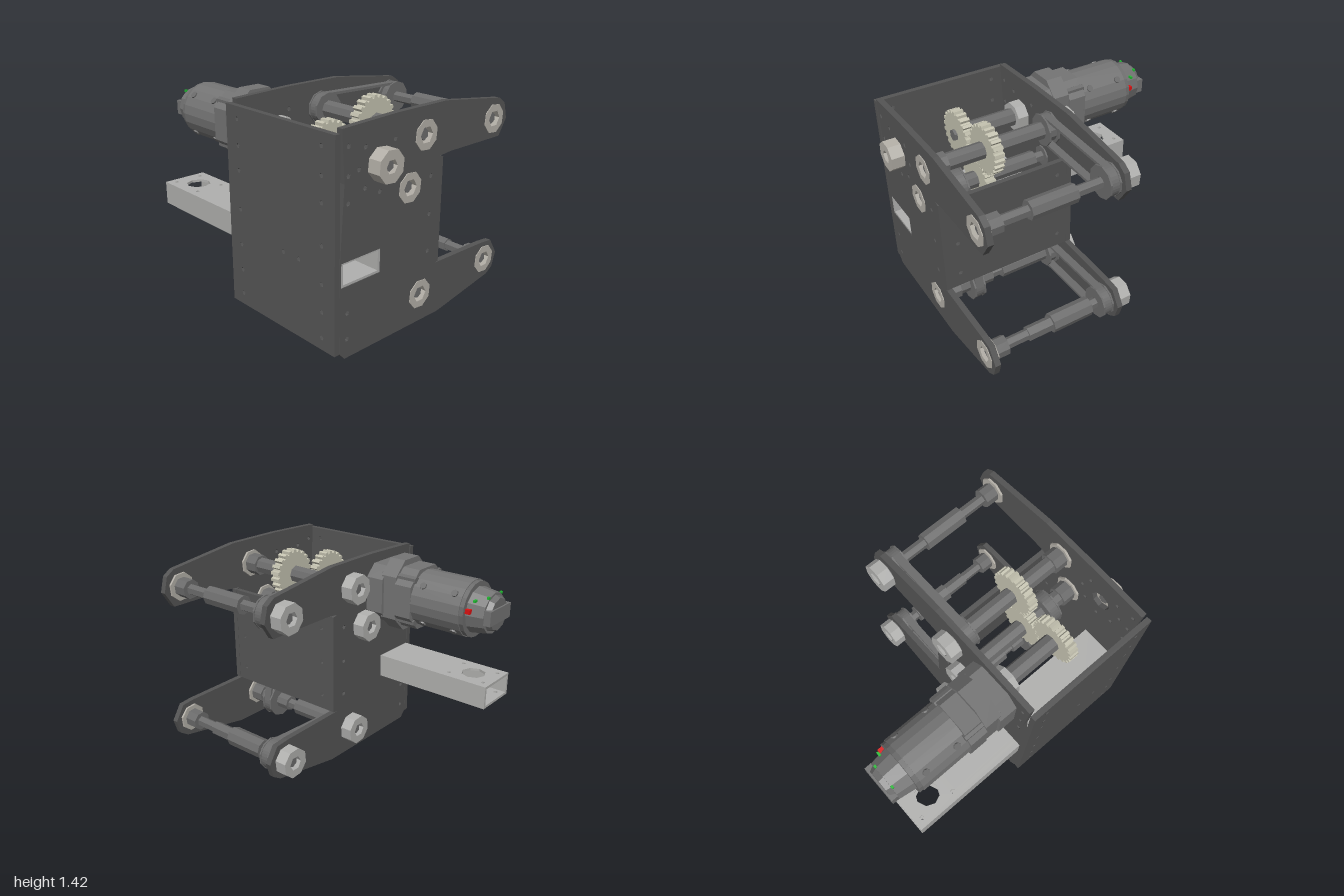
import * as THREE from 'three';

const mat = (color) => new THREE.MeshStandardMaterial({ color, flatShading: true });
const DARK = mat(0x555555), STEEL = mat(0x6c6c6c), MOTOR = mat(0x747474), LIGHT = mat(0xb0b0ae);
const BEARING = mat(0xb4b0a8), GEAR = mat(0xc4c2b0), RED = mat(0xdd1111), GREEN = mat(0x22bb33);

// Shaft centres in the side plates
const A = [-0.43, 1.16], B = [-0.04, 1.25], C = [-0.17, 0.95];
const D = [-0.04, 0.2], E = [0.63, 1.23], F = [0.63, 0.23];

export function createModel() {
  const root = new THREE.Group();

  const add = (name, geo, material, x = 0, y = 0, z = 0) => {
    const m = new THREE.Mesh(geo, material);
    m.name = name;
    m.position.set(x, y, z);
    root.add(m);
    return m;
  };
  const poly = (pts) => new THREE.Shape(pts.map((p) => new THREE.Vector2(p[0], p[1])));
  const ngon = (n, r, x = 0, y = 0, turn = 0) => poly(Array.from({ length: n }, (_, i) => {
    const a = turn + (i / n) * Math.PI * 2;
    return [x + r * Math.cos(a), y + r * Math.sin(a)];
  }));
  const rect = (x0, y0, x1, y1) => poly([[x0, y0], [x1, y0], [x1, y1], [x0, y1]]);
  const extrude = (shape, depth, holes = []) => {
    shape.holes.push(...holes);
    return new THREE.ExtrudeGeometry(shape, { depth, bevelEnabled: false, curveSegments: 8 });
  };
  const screws = (pts) => pts.map(([x, y]) => ngon(5, 0.016, x, y, 0.4));
  // Solid of revolution along z, from z0 to z1
  const rod = (name, c, z0, z1, r, sides, material, r1 = r) => {
    const g = new THREE.CylinderGeometry(r1, r, z1 - z0, sides).rotateX(Math.PI / 2);
    return add(name, g, material, c[0], c[1], (z0 + z1) / 2);
  };
  // Faceted ring with a hexagonal bore
  const ring = (name, c, z0, z1, r, bore, material, sides = 8) =>
    add(name, extrude(ngon(sides, r, 0, 0, 0.3), z1 - z0, [ngon(6, bore)]), material, c[0], c[1], z0);

  // Two C-shaped side plates with bearing, bolt and beam cutouts
  const sideOutline = [[-0.70, 0.005], [0.15, 0.005], [0.68, 0.10], [0.74, 0.14], [0.77, 0.24], [0.70, 0.35],
    [0.60, 0.36], [0.09, 0.37], [0.13, 0.375], [0.13, 1.08], [0.09, 1.09], [0.20, 1.10], [0.70, 1.10],
    [0.77, 1.21], [0.74, 1.32], [0.68, 1.36], [0.13, 1.43], [-0.30, 1.43], [-0.73, 1.415], [-0.71, 1.1],
    [-0.74, 0.63], [-0.74, 0.05]];
  const boltHoles = [];
  for (const y of [1.31, 1.14, 0.98, 0.30, 0.13]) boltHoles.push([-0.68, y]);
  for (const y of [0.98, 0.73, 0.48]) boltHoles.push([0.02, y]);
  for (let i = 0; i < 8; i++) {
    if (i === 2) continue;
    boltHoles.push([A[0] + 0.17 * Math.cos(i * Math.PI / 4), A[1] + 0.17 * Math.sin(i * Math.PI / 4)]);
  }
  for (const [name, z] of [['frontSidePlate', 0.87], ['backSidePlate', -0.07]]) {
    const holes = [...screws(boltHoles), ...[A, B, C, D, E, F].map((c) => ngon(8, 0.075, c[0], c[1])),
      rect(-0.73, 0.475, -0.41, 0.63)];
    add(name, extrude(poly(sideOutline), 0.04, holes), DARK, 0, 0, z);
  }

  // Cross plates joining the side plates
  const crossPlate = (name, x, z0, z1, y0, y1, t, holes) =>
    add(name, extrude(rect(z0, y0, z1, y1), t, screws(holes)).rotateY(-Math.PI / 2), DARK, x);
  const outerHoles = [];
  for (const y of [1.31, 1.14, 0.98, 0.72, 0.48, 0.30, 0.13]) outerHoles.push([0.8, y], [0.04, y]);
  outerHoles.push([0.6, 0.57], [0.46, 0.57]);
  crossPlate('outerCrossPlate', -0.742, -0.07, 0.91, 0.05, 1.39, 0.038, outerHoles);
  crossPlate('innerCrossPlate', 0.128, -0.03, 0.87, 0.375, 1.08, 0.035,
    [0.98, 0.73, 0.48].flatMap((y) => [[0.8, y], [0.04, y]]));

  // Hollow rectangular beam with openings near its back end
  for (const [name, y] of [['beamTop', 0.635], ['beamBottom', 0.49]]) {
    const holes = [ngon(8, 0.085, -0.57, -0.76),
      ...screws([[-0.67, -0.89], [-0.47, -0.89], [-0.67, -0.62], [-0.47, -0.62], [-0.66, 0.26], [-0.66, 0.6]])];
    const g = extrude(rect(-0.73, -0.945, -0.41, 0.905), 0.018, holes).rotateX(Math.PI / 2);
    add(name, g, LIGHT, 0, y);
  }
  for (const x of [-0.721, -0.419])
    add('beamSide', new THREE.BoxGeometry(0.018, 0.13, 1.85), LIGHT, x, 0.553, -0.02);

  // Shafts with bearings in the front plate and collars behind the back plate
  for (const c of [B, C, D, E, F]) {
    const arm = c === E || c === F;
    rod('shaft', c, -0.14, 0.895, 0.038, 6, STEEL);
    ring('frontBearing', c, 0.855, 0.915, 0.1, 0.055, BEARING);
    ring('frontBearingHub', c, 0.76, 0.87, arm ? 0.068 : 0.075, 0.036, STEEL);
    ring('backCollar', c, -0.165, -0.08, 0.105, 0.05, LIGHT);
    ring('backBearing', c, -0.08, -0.02, 0.075, 0.036, STEEL);
    if (!arm) {
      rod('shaftSleeve', c, 0.05, 0.42, 0.06, 8, STEEL);
      rod('shaftSleeve', c, 0.5, 0.78, 0.058, 8, STEEL);
    }
  }
  rod('upperRoller', E, 0.25, 0.57, 0.064, 8, STEEL);
  rod('lowerRoller', F, 0.12, 0.42, 0.068, 8, STEEL);
  rod('lowerRollerStep', F, 0.42, 0.6, 0.05, 6, STEEL);

  // Driven shaft of the motor
  rod('motorShaft', A, -0.07, 0.52, 0.042, 6, STEEL);
  ring('motorShaftHub', A, -0.02, 0.06, 0.105, 0.04, LIGHT);
  rod('motorShaftSleeve', A, 0.06, 0.43, 0.064, 8, STEEL);
  ring('motorShaftBearing', A, 0.905, 1.0, 0.105, 0.045, BEARING);
  rod('motorShaftEnd', A, 0.89, 0.98, 0.035, 6, STEEL);

  // Gear train
  const gear = (c, turn) => {
    const n = 22, pts = [];
    for (let i = 0; i < n; i++) {
      for (const [f, r] of [[0, 0.153], [0.3, 0.153], [0.42, 0.172], [0.85, 0.172]]) {
        const a = turn + ((i + f) / n) * Math.PI * 2;
        pts.push([r * Math.cos(a), r * Math.sin(a)]);
      }
    }
    add('gear', extrude(poly(pts), 0.07, [ngon(6, 0.04)]), GEAR, c[0], c[1], 0.43);
  };
  gear(A, 0);
  gear(C, 0.14);
  gear(B, 0);

  // Belt drives: a pulley on each shaft and a loop around both
  const loop = (p, q, r) => {
    const a = Math.atan2(q[1] - p[1], q[0] - p[0]), h = Math.PI / 2;
    const s = new THREE.Shape();
    s.absarc(q[0], q[1], r, a - h, a + h, false);
    s.absarc(p[0], p[1], r, a + h, a + 3 * h, false);
    s.closePath();
    return s;
  };
  const beltDrive = (p, q, z0, z1, r) => {
    const inset = 0.012;
    add('belt', extrude(loop(p, q, r), z1 - z0 - 2 * inset, [loop(p, q, r - 0.018)]), STEEL, 0, 0, z0 + inset);
    for (const c of [p, q]) {
      ring('pulley', c, z0 + inset, z1 - inset, r - 0.016, 0.037, STEEL, 12);
      ring('pulleyFlange', c, z0, z0 + inset, r + 0.008, 0.037, STEEL, 10);
      ring('pulleyFlange', c, z1 - inset, z1, r + 0.008, 0.037, STEEL, 10);
    }
  };
  beltDrive(B, E, -0.02, 0.06, 0.105);
  beltDrive(D, F, -0.02, 0.06, 0.105);
  beltDrive(D, C, 0.6, 0.685, 0.12);

  // Gearbox: mounting flange, chamfered block and ring stage
  const block = (name, w, h, cut, z0, z1) => {
    const x = w / 2, y = h / 2;
    const s = poly([[-x + cut, -y], [x - cut, -y], [x, -y + cut], [x, y - cut], [x - cut, y], [-x + cut, y],
      [-x, y - cut], [-x, -y + cut]]);
    add(name, extrude(s, z1 - z0), MOTOR, A[0], A[1], z0);
  };
  block('gearboxFlange', 0.4, 0.4, 0.08, -0.2, -0.07);
  block('gearboxBlock', 0.36, 0.5, 0.1, -0.3, -0.18);
  block('gearboxStage', 0.39, 0.42, 0.1, -0.43, -0.3);
  for (const sx of [-1, 1]) for (const sy of [-1, 1])
    rod('gearboxBolt', [A[0] + sx * 0.14, A[1] + sy * 0.15], -0.44, -0.17, 0.025, 6, STEEL);

  // Motor can, rim and stepped end cap
  rod('motorBody', A, -0.8, -0.42, 0.196, 20, MOTOR);
  rod('motorRim', A, -0.83, -0.8, 0.196, 20, STEEL, 0.196).scale.set(0.97, 0.97, 1);
  rod('motorEndCap', A, -0.95, -0.82, 0.14, 12, MOTOR, 0.16);
  rod('motorTailRing', A, -0.985, -0.95, 0.11, 10, STEEL, 0.125);
  add('motorTailFin', new THREE.BoxGeometry(0.26, 0.1, 0.05), MOTOR, A[0], A[1], -0.972);
  for (const z of [-0.74, -0.5]) for (const a of [0.7, 2.4, 3.9, 5.5]) {
    const g = new THREE.CylinderGeometry(0.024, 0.024, 0.02, 8).rotateZ(a - Math.PI / 2);
    add('motorScrew', g, STEEL, A[0] + 0.194 * Math.cos(a), A[1] + 0.194 * Math.sin(a), z);
  }

  // Coloured terminals on the end cap
  add('redTerminal', new THREE.BoxGeometry(0.03, 0.03, 0.035), RED, A[0] + 0.155, A[1] + 0.03, -0.85);
  add('greenTerminal', new THREE.BoxGeometry(0.03, 0.015, 0.015), GREEN, A[0] + 0.13, A[1] + 0.1, -0.88);
  for (const x of [-0.08, 0.08])
    add('greenTerminal', new THREE.BoxGeometry(0.02, 0.015, 0.015), GREEN, A[0] + x, A[1] + 0.12, -0.945);

  return root;
}
